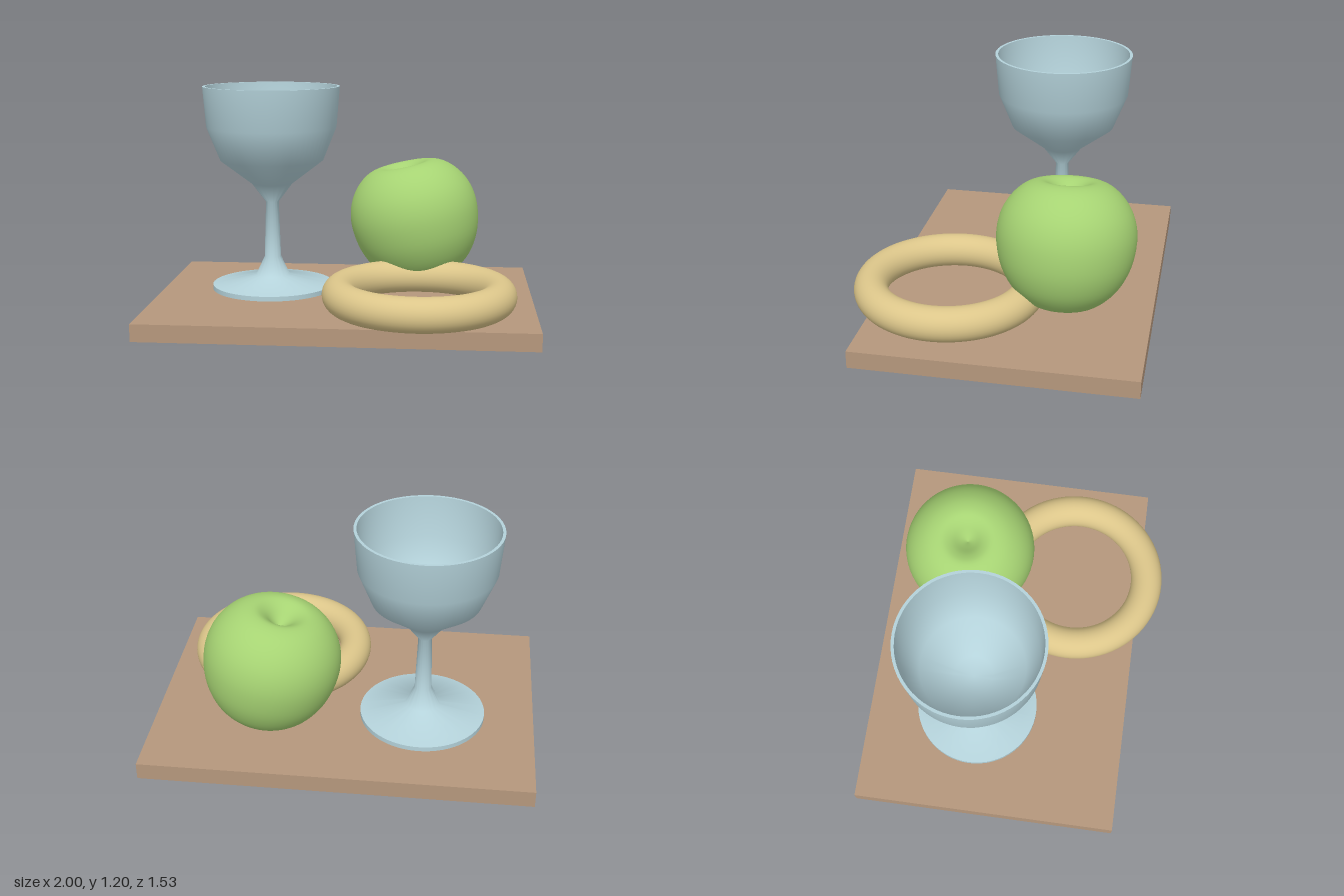
import * as THREE from 'three';
import { toCreasedNormals } from 'three/addons/utils/BufferGeometryUtils.js';

function material(name, color) {
  const m = new THREE.MeshStandardMaterial({ color });
  m.name = name;
  return m;
}

function part(name, geometry, mat, x, y, z) {
  const mesh = new THREE.Mesh(geometry, mat);
  mesh.name = name;
  mesh.position.set(x, y, z);
  return mesh;
}

const toPoints = (pairs) => pairs.map(([r, y]) => new THREE.Vector2(r, y));

export function createModel() {
  const wood = material('wood', 0xb5977c);
  const glass = material('pale blue', 0xb4d2da);
  const green = material('apple green', 0xa6d373);
  const dough = material('golden', 0xdcc68a);

  const group = new THREE.Group();
  group.name = 'stillLife';

  // Serving board
  group.add(part('board', new THREE.BoxGeometry(2, 0.09, 1.41), wood, 0, 0.045, -0.065));

  // Goblet: foot, stem and outer bowl going up, then the inner wall going down
  const gobletProfile = toPoints([
    [0, 0.09], [0.33, 0.09], [0.33, 0.115], [0.092, 0.165], [0.045, 0.265],
    [0.035, 0.57], [0.11, 0.67], [0.28, 0.8], [0.352, 0.98], [0.37, 1.2],
    [0.355, 1.2], [0.338, 0.98], [0.268, 0.81], [0.1, 0.685], [0, 0.66],
  ]);
  const goblet = toCreasedNormals(new THREE.LatheGeometry(gobletProfile, 64), 1.05);
  group.add(part('goblet', goblet, glass, -0.41, 0, -0.18));

  // Ring lying flat, overhanging the front of the board
  const ring = new THREE.TorusGeometry(0.408, 0.0875, 32, 80).rotateX(-Math.PI / 2);
  group.add(part('ring', ring, dough, 0.405, 0.178, 0.268));

  // Apple: dimpled at both ends, leaning to one side
  const appleCurve = new THREE.SplineCurve(toPoints([
    [0, 0.06], [0.05, 0.045], [0.09, 0.012], [0.13, 0], [0.2, 0.035], [0.275, 0.11],
    [0.33, 0.22], [0.352, 0.35], [0.337, 0.46], [0.29, 0.55], [0.22, 0.615],
    [0.145, 0.64], [0.09, 0.62], [0.04, 0.575], [0, 0.54],
  ]));
  const appleProfile = appleCurve.getPoints(56);
  appleProfile.forEach((p) => { p.x = Math.max(p.x, 0); });
  const apple = part('apple', new THREE.LatheGeometry(appleProfile, 64), green, 0.437, 0.137, -0.323);
  apple.rotation.z = THREE.MathUtils.degToRad(12);
  group.add(apple);

  return group;
}
